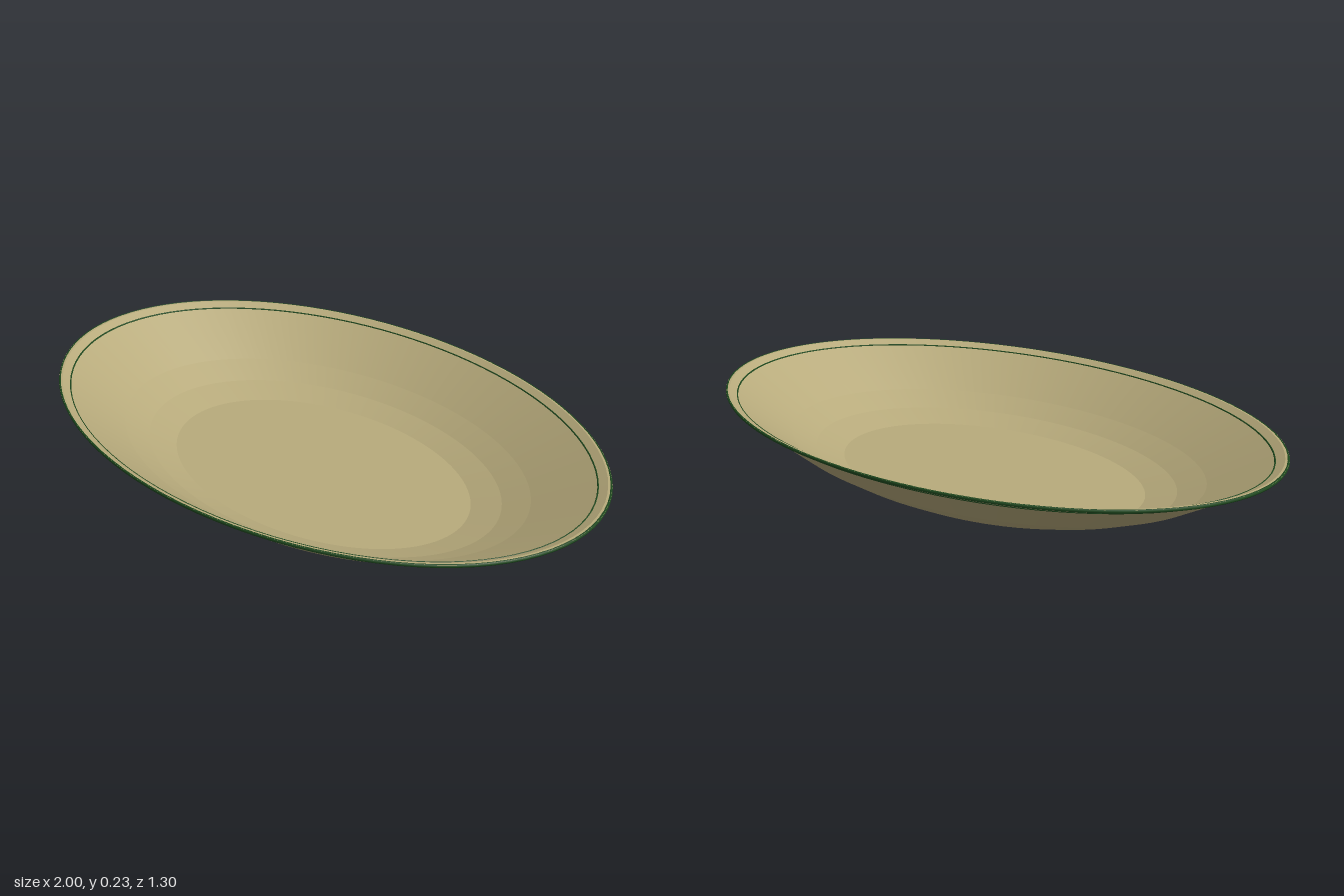
import * as THREE from 'three';
import { mergeGeometries } from 'three/addons/utils/BufferGeometryUtils.js';

const DEPTH = 0.652; // oval ratio, z to x
const SEGMENTS = 96;

// Oval lathe: smooth around, with a crease between profile bands
function ovalLathe(profile) {
  const points = profile.map(([r, y]) => new THREE.Vector2(r, y));
  const bands = [];
  for (let i = 0; i < points.length - 1; i++) {
    bands.push(new THREE.LatheGeometry([points[i], points[i + 1]], SEGMENTS));
  }
  return mergeGeometries(bands).scale(1, 1, DEPTH);
}

export function createModel() {
  const group = new THREE.Group();
  const clay = new THREE.MeshStandardMaterial({ color: 0xb8ab7c });
  const green = new THREE.MeshStandardMaterial({ color: 0x1f4a1f });

  const add = (name, geometry, material) => {
    const mesh = new THREE.Mesh(geometry, material);
    mesh.name = name;
    group.add(mesh);
    return mesh;
  };

  // Recessed base, foot ring and outer wall
  add('outerBowl', ovalLathe([
    [0, 0.012], [0.32, 0.012], [0.355, 0], [0.375, 0], [0.545, 0.025],
    [0.655, 0.06], [0.765, 0.103], [0.955, 0.203], [0.998, 0.225],
  ]), clay);

  // Lip, inner wall and flat floor
  add('innerBowl', ovalLathe([
    [0.998, 0.225], [0.985, 0.225], [0.955, 0.211], [0.745, 0.105],
    [0.65, 0.065], [0.545, 0.037], [0, 0.037],
  ]), clay);

  // Thin painted bands on the lip and on both sides of the wall
  const band = (name, radius, y, tube) => {
    const ring = new THREE.TorusGeometry(radius, tube, 6, SEGMENTS);
    ring.rotateX(Math.PI / 2).scale(1, 1, DEPTH);
    add(name, ring, green).position.y = y;
  };
  band('rimBand', 0.995, 0.221, 0.005);
  band('innerBand', 0.955, 0.21, 0.003);
  band('outerBand', 0.955, 0.204, 0.003);

  return group;
}
